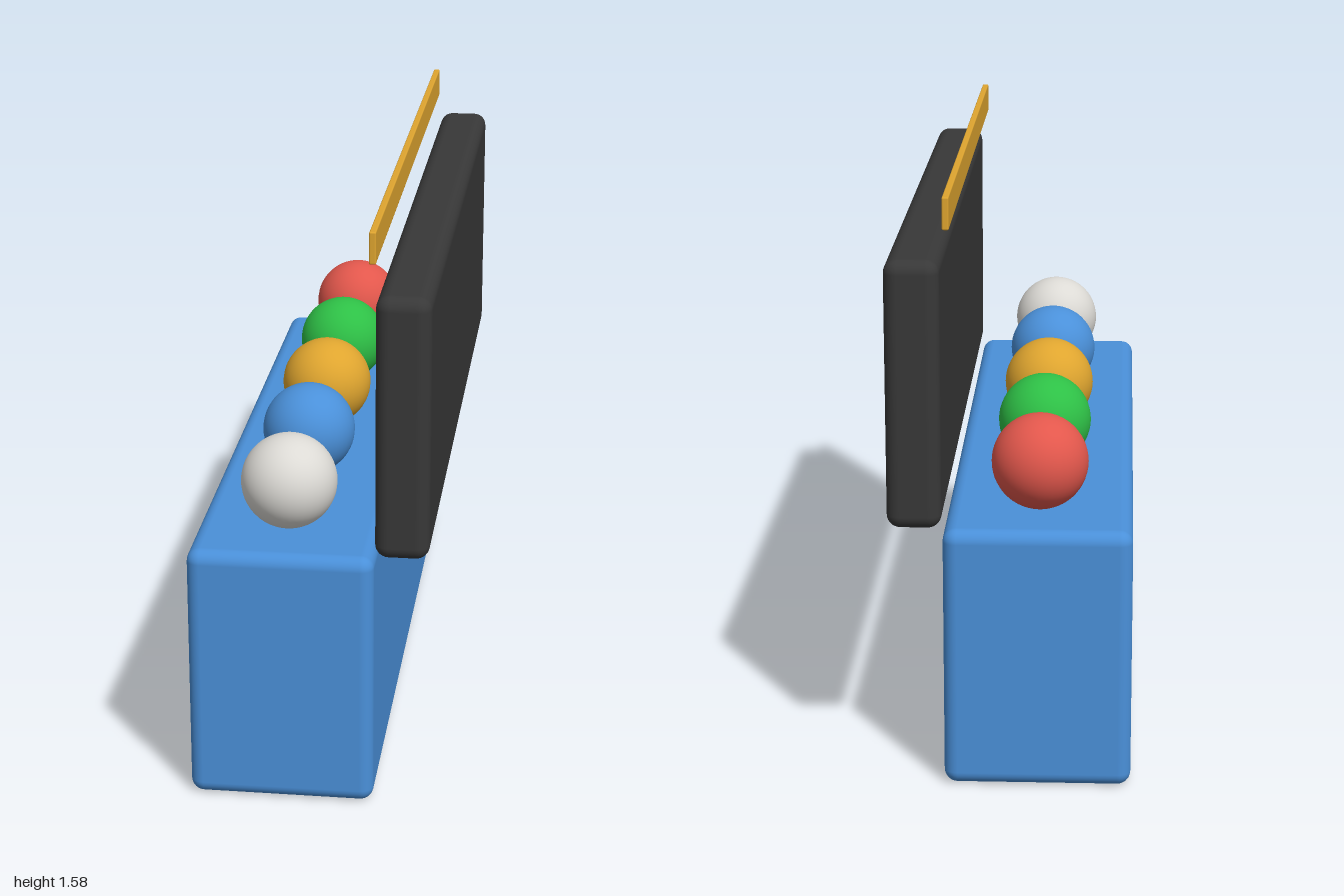
import * as THREE from 'three';
import { RoundedBoxGeometry } from 'three/addons/geometries/RoundedBoxGeometry.js';

function material(name, color) {
  const m = new THREE.MeshStandardMaterial({ color });
  m.name = name;
  return m;
}

export function createModel() {
  const group = new THREE.Group();
  group.name = 'benchWithBalls';

  const blue = material('blue', 0x4a90d9);
  const charcoal = material('charcoal', 0x383838);
  const gold = material('gold', 0xdfa52f);
  const red = material('red', 0xe2574c);
  const green = material('green', 0x2ec046);
  const paleGrey = material('paleGrey', 0xdcdad5);

  const add = (name, geometry, mat, x, y, z) => {
    const mesh = new THREE.Mesh(geometry, mat);
    mesh.name = name;
    mesh.position.set(x, y, z);
    group.add(mesh);
  };

  // Rounded base block and the upright panel along its left edge
  add('base', new RoundedBoxGeometry(0.497, 0.714, 2, 4, 0.036), blue, -0.073, 0.357, 0);
  add('backPanel', new RoundedBoxGeometry(0.143, 0.714, 2, 4, 0.036), charcoal, 0.249, 1.073, 0);

  // Thin strip floating above the panel
  add('topStrip', new RoundedBoxGeometry(0.018, 0.085, 1.86, 2, 0.004), gold, 0.164, 1.539, 0);

  // Row of balls resting on the base, back to front
  const ball = new THREE.SphereGeometry(0.129, 40, 28);
  [['red', red], ['green', green], ['gold', gold], ['blue', blue], ['grey', paleGrey]]
    .forEach(([name, mat], i) => add(name + 'Ball', ball, mat, -0.073, 0.844, (i - 2) * 0.393));

  return group;
}
